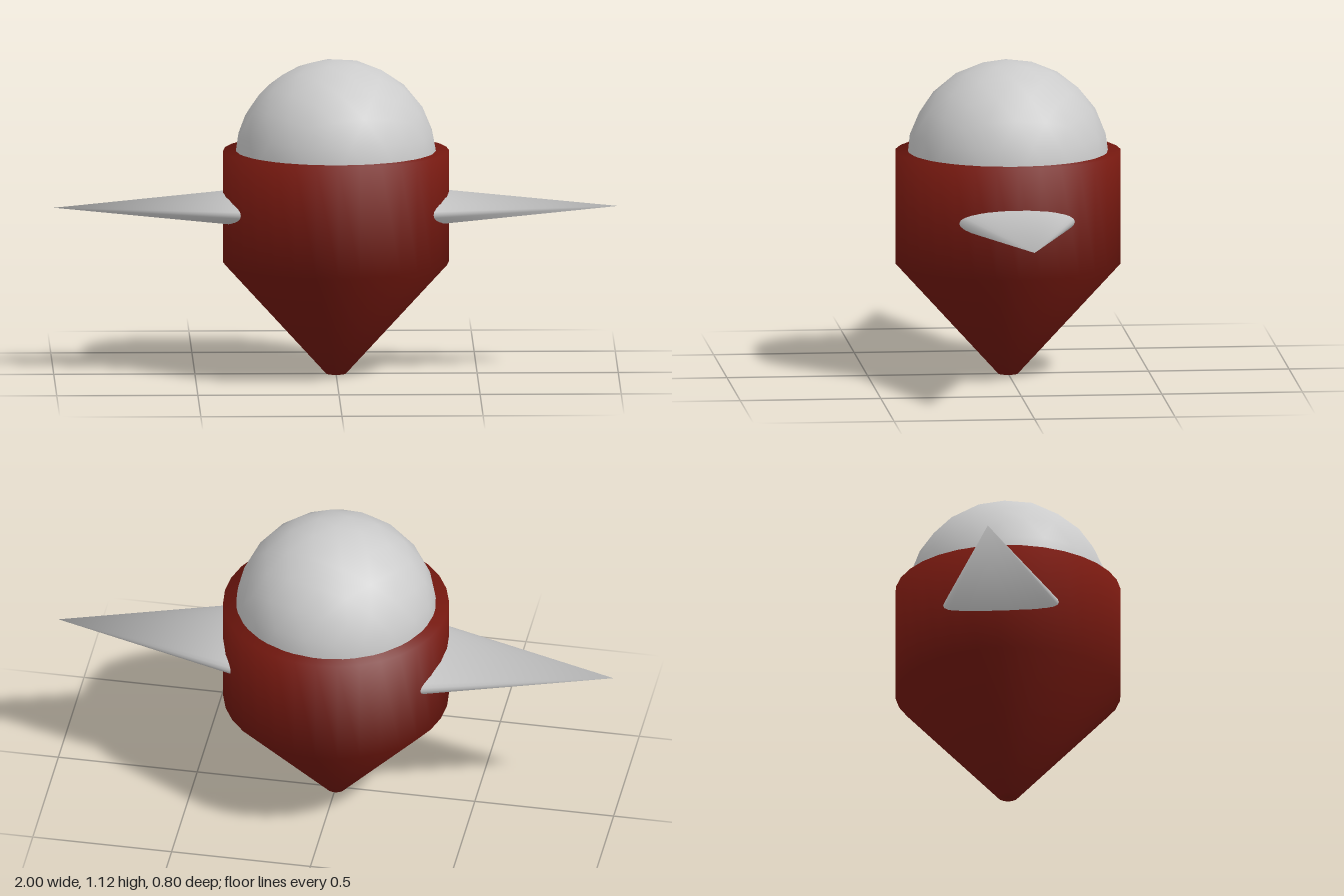
import * as THREE from 'three';
import { mergeVertices } from 'three/addons/utils/BufferGeometryUtils.js';

// Weld a geometry and give it fully smooth normals
function smooth(geometry) {
  geometry.deleteAttribute('uv');
  geometry.deleteAttribute('normal');
  const welded = mergeVertices(geometry, 1e-4);
  welded.computeVertexNormals();
  return welded;
}

function addMesh(group, name, geometry, material) {
  const mesh = new THREE.Mesh(geometry, material);
  mesh.name = name;
  group.add(mesh);
  return mesh;
}

export function createModel() {
  const group = new THREE.Group();
  const grey = new THREE.MeshStandardMaterial({ color: 0xcccccc });
  const red = new THREE.MeshStandardMaterial({ color: 0x74180f });

  // Hull: straight drum above a tapering point, closed at both ends
  const profile = [[0, 0], [0.035, 0], [0.4, 0.4], [0.4, 0.8], [0, 0.8]]
    .map(([r, y]) => new THREE.Vector2(r, y));
  addMesh(group, 'hull', new THREE.LatheGeometry(profile, 32), red);

  // Dome: geodesic ball with one vertex straight up, sunk into the hull
  const ball = new THREE.IcosahedronGeometry(0.36, 3);
  ball.rotateX(-Math.atan((1 + Math.sqrt(5)) / 2));
  ball.rotateY(-Math.PI / 2);
  addMesh(group, 'dome', ball, grey).position.y = 0.765;

  // Fins: flattened cones pointing sideways, starting inside the hull
  const inner = 0.2, length = 1 - inner;
  for (const [name, side] of [['leftFin', 1], ['rightFin', -1]]) {
    const cone = new THREE.ConeGeometry(1, length, 32);
    cone.rotateZ(-side * Math.PI / 2);
    cone.scale(1, 0.07, 0.25);
    cone.translate(side * (inner + length / 2), 0.597, 0);
    addMesh(group, name, smooth(cone), grey);
  }

  return group;
}
